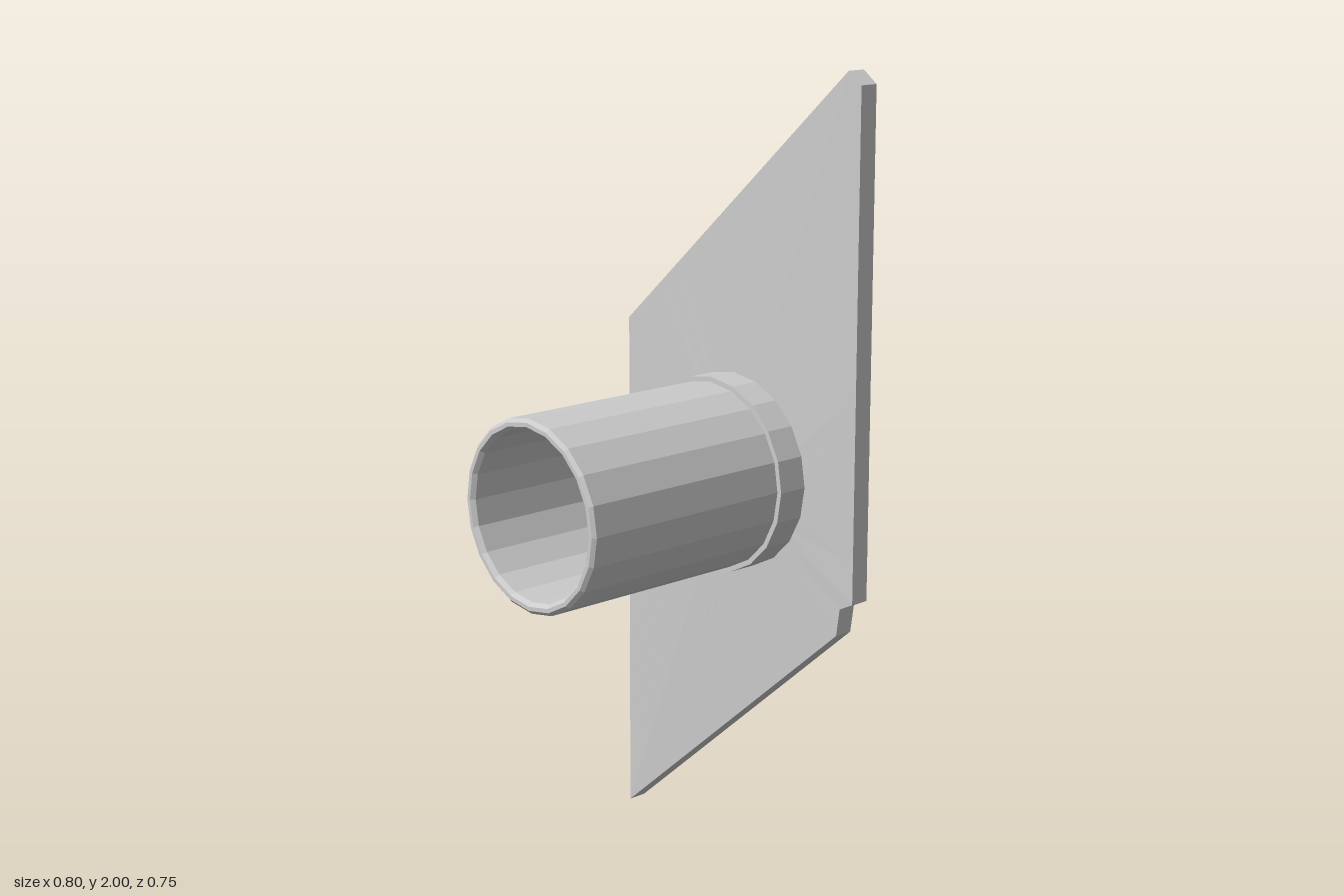
import * as THREE from 'three';

const material = new THREE.MeshStandardMaterial({ color: 0xcccccc, flatShading: true, side: THREE.DoubleSide });
const CENTER_Y = 1.005;
const HOLE = 0.203;

// Revolve a [radius, depth] profile around the z axis
function revolve(name, profile) {
  const geometry = new THREE.LatheGeometry(profile.map(([r, d]) => new THREE.Vector2(r, d)), 20);
  geometry.rotateX(Math.PI / 2);
  const mesh = new THREE.Mesh(geometry, material);
  mesh.name = name;
  return mesh;
}

// Slanted plate with a round hole, slightly thicker towards the hole
function createPlate() {
  const corners = [
    [-0.4, 0], [0.345, 0.655], [0.355, 0.725], [0.395, 0.745],
    [0.385, 1.97], [0.345, 2], [-0.4, 1.33],
  ].map(([x, y]) => new THREE.Vector2(x + 0.007, y - CENTER_Y));

  // Subdivide the long edges so the hole comes out round
  const outline = [];
  corners.forEach((a, i) => {
    const b = corners[(i + 1) % corners.length];
    const steps = a.distanceTo(b) > 0.2 ? 12 : 1;
    for (let s = 0; s < steps; s++) outline.push(a.clone().lerp(b, s / steps));
  });

  // Each section runs front inner, front outer, back outer, back inner
  const positions = [];
  const index = [];
  outline.forEach((p, i) => {
    const q = p.clone().setLength(HOLE);
    positions.push(q.x, q.y, 0.034, p.x, p.y, 0.025, p.x, p.y, -0.025, q.x, q.y, -0.034);
    const a = i * 4;
    const b = ((i + 1) % outline.length) * 4;
    for (let k = 0; k < 3; k++) index.push(a + k, a + k + 1, b + k + 1, a + k, b + k + 1, b + k);
  });
  const geometry = new THREE.BufferGeometry();
  geometry.setAttribute('position', new THREE.Float32BufferAttribute(positions, 3));
  geometry.setIndex(index);
  geometry.computeVertexNormals();
  const mesh = new THREE.Mesh(geometry, material);
  mesh.name = 'plate';
  return mesh;
}

export function createModel() {
  const model = new THREE.Group();
  model.name = 'pipeFlange';

  // Everything shares one slight turn about the vertical
  const assembly = new THREE.Group();
  assembly.name = 'assembly';
  assembly.position.set(-0.007, CENTER_Y, -0.331);
  assembly.rotation.y = -0.052;

  assembly.add(
    createPlate(),
    // Open pipe with a bevelled rim
    revolve('pipe', [[0.2325, 0], [0.2325, 0.682], [0.224, 0.69], [0.214, 0.69], [0.205, 0.68], [0.205, -0.034]]),
    // Collar where the pipe meets the plate
    revolve('collar', [[0.245, 0], [0.245, 0.112], [0.23, 0.112]]),
  );
  model.add(assembly);
  return model;
}
